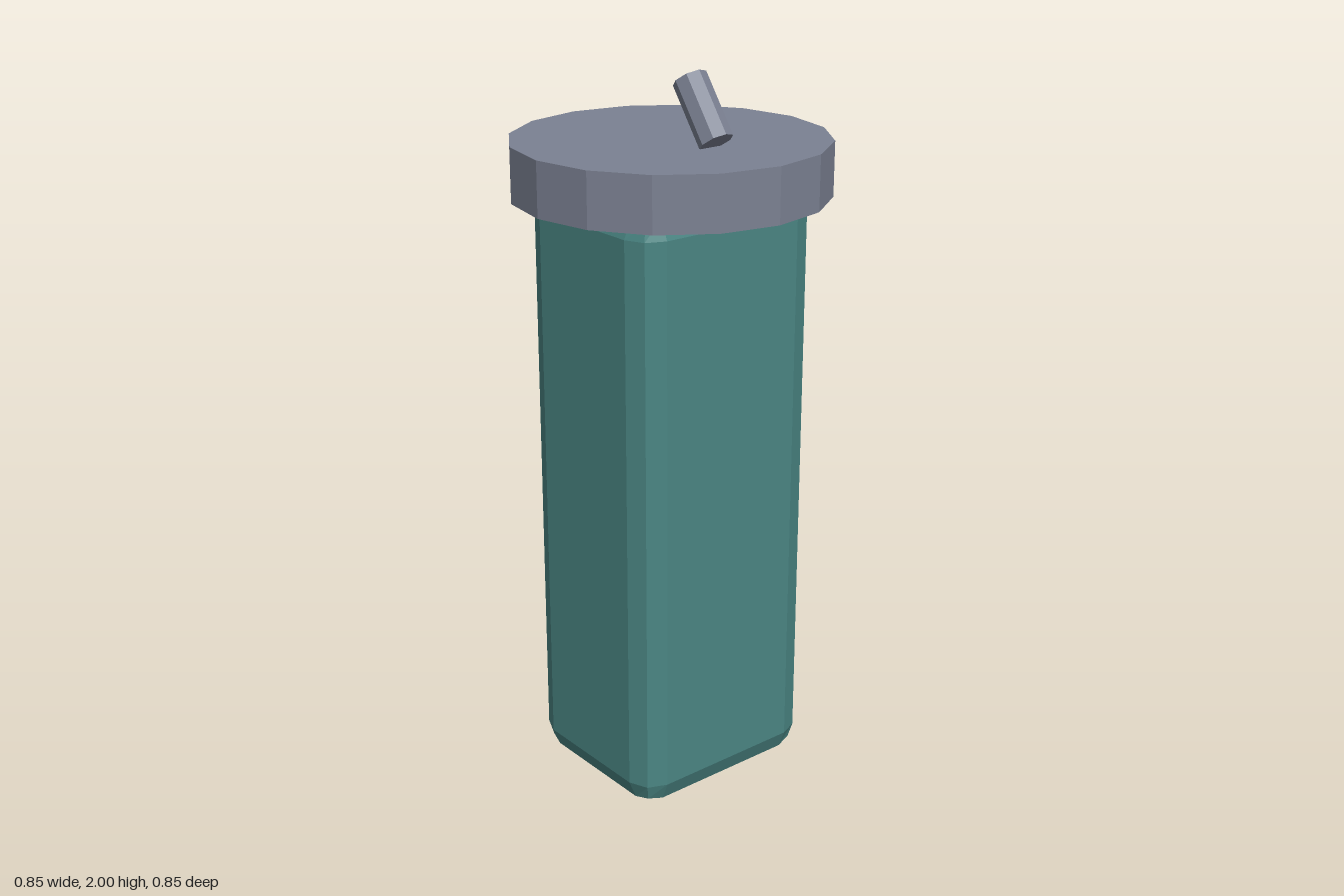
import * as THREE from 'three';
import { RoundedBoxGeometry } from 'three/addons/geometries/RoundedBoxGeometry.js';

export function createModel() {
  const group = new THREE.Group();
  const teal = new THREE.MeshStandardMaterial({ color: 0x4a8583, flatShading: true });
  const slate = new THREE.MeshStandardMaterial({ color: 0x7b8192, flatShading: true });

  const add = (name, geometry, material, x, y, z) => {
    const mesh = new THREE.Mesh(geometry, material);
    mesh.name = name;
    mesh.position.set(x, y, z);
    group.add(mesh);
    return mesh;
  };

  // Tall body with edges rounded in two facets; its top sits inside the lid
  add('body', new RoundedBoxGeometry(0.51, 1.7, 0.586, 1, 0.075), teal, 0, 0.85, 0);

  // Flat sixteen-sided lid
  add('lid', new THREE.CylinderGeometry(0.424, 0.424, 0.147, 16), slate, 0, 1.737, 0);

  // Short spout leaning over the lid
  const spout = add('spout', new THREE.CylinderGeometry(0.046, 0.046, 0.18, 8), slate, 0.129, 1.9, 0);
  spout.rotation.z = 0.63;

  return group;
}
